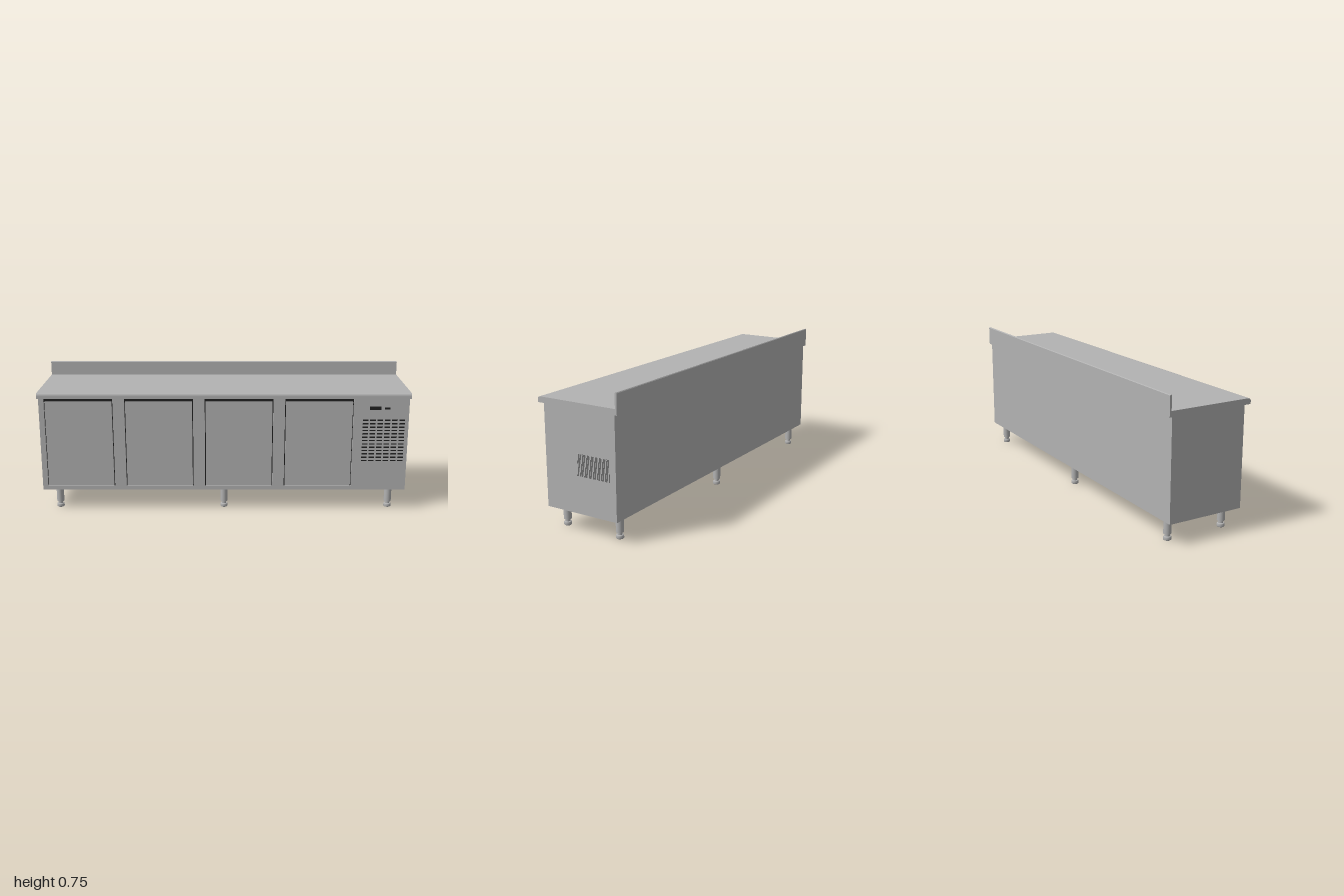
import * as THREE from 'three';

const steel = new THREE.MeshStandardMaterial({ color: 0xb2b2b2 });
steel.name = 'brushed steel';
const dark = new THREE.MeshStandardMaterial({ color: 0x202020 });
dark.name = 'dark recess';

export function createModel() {
  const model = new THREE.Group();
  model.name = 'refrigeratedCounter';

  const add = (name, geometry, material, parent = model) => {
    const mesh = new THREE.Mesh(geometry, material);
    mesh.name = name;
    parent.add(mesh);
    return mesh;
  };
  // Box given by its minimum and maximum on each axis
  const box = (name, x0, x1, y0, y1, z0, z1, material, parent) => {
    const mesh = add(name, new THREE.BoxGeometry(x1 - x0, y1 - y0, z1 - z0), material, parent);
    mesh.position.set((x0 + x1) / 2, (y0 + y1) / 2, (z0 + z1) / 2);
    return mesh;
  };
  const rect = (path, x0, x1, y0, y1) => path.moveTo(x0, y0).lineTo(x1, y0).lineTo(x1, y1).lineTo(x0, y1).closePath();

  const W = 0.998, bottom = 0.115, top = 0.64, front = 0.2, inner = 0.185;
  const doorLefts = [-0.97, -0.537, -0.104, 0.329], doorWidth = 0.37;
  const doorBottom = 0.135, gripBottom = 0.615, openingTop = 0.638, gap = 0.005;

  // Cabinet body with a front frame cut out for the doors
  box('cabinetBody', -W, W, bottom, top, -0.22, inner, steel);
  const frame = new THREE.Shape();
  rect(frame, -W, W, bottom, top);
  for (const x of doorLefts) {
    const hole = new THREE.Path();
    rect(hole, x, x + doorWidth, doorBottom, openingTop);
    frame.holes.push(hole);
  }
  const frameGeometry = new THREE.ExtrudeGeometry(frame, { depth: front - inner, bevelEnabled: false });
  add('frontFrame', frameGeometry, steel).position.z = inner;

  // Doors sit flush, with a dark gap around and a finger recess above
  for (const x of doorLefts) {
    box('doorRecess', x, x + doorWidth, doorBottom, openingTop, inner, inner + 0.002, dark);
    box('door', x + gap, x + doorWidth - gap, doorBottom + gap, gripBottom, inner + 0.002, front, steel);
  }

  // Worktop and upstand share one profile, drawn as (-z, y)
  const profile = new THREE.Shape();
  profile.moveTo(-0.235, 0.64);
  profile.lineTo(0.235, 0.64);
  profile.lineTo(0.235, 0.743);
  profile.lineTo(0.232, 0.747);
  profile.lineTo(0.228, 0.747);
  profile.lineTo(0.225, 0.743);
  profile.lineTo(0.225, 0.67);
  profile.lineTo(-0.219, 0.67);
  profile.quadraticCurveTo(-0.235, 0.67, -0.235, 0.654);
  profile.closePath();
  const topGeometry = new THREE.ExtrudeGeometry(profile, { depth: 2, bevelEnabled: false, curveSegments: 8 });
  topGeometry.rotateY(Math.PI / 2).translate(-1, 0, 0);
  add('worktop', topGeometry, steel);

  // Controls on the machine compartment
  box('display', 0.785, 0.847, 0.57, 0.589, front, front + 0.002, dark);
  box('switch', 0.866, 0.894, 0.575, 0.584, front, front + 0.002, dark);

  // Front ventilation slots
  const grille = new THREE.Group();
  grille.name = 'frontGrille';
  model.add(grille);
  for (let row = 0; row < 13; row++) {
    for (let col = 0; col < 6; col++) {
      const x = 0.75 + col * 0.0395, y = 0.281 + row * 0.019;
      box('slot', x, x + 0.03, y, y + 0.007, front, front + 0.001, dark, grille);
    }
  }

  // Louvred vent on the left side
  const vent = new THREE.Group();
  vent.name = 'sideVent';
  model.add(vent);
  box('ventBacking', W, W + 0.0005, 0.308, 0.419, -0.182, 0.007, dark, vent);
  const slats = 24, pitch = 0.189 / slats;
  for (let i = 0; i < slats; i++) {
    const z = -0.182 + i * pitch;
    box('slat', W, W + 0.0015, 0.308, 0.419, z + 0.0015, z + pitch - 0.0015, steel, vent);
  }

  // Six legs with adjustable feet
  const foot = [[0, 0], [0.017, 0], [0.02, 0.003], [0.02, 0.016], [0.017, 0.02], [0.012, 0.02]];
  const footGeometry = new THREE.LatheGeometry(foot.map(([r, y]) => new THREE.Vector2(r, y)), 24);
  const neckGeometry = new THREE.CylinderGeometry(0.0125, 0.0125, 0.016, 24);
  const tubeGeometry = new THREE.CylinderGeometry(0.02, 0.02, 0.083, 24);
  for (const x of [-0.915, 0, 0.915]) {
    for (const z of [0.15, -0.174]) {
      const leg = new THREE.Group();
      leg.name = 'leg';
      leg.position.set(x, 0, z);
      add('foot', footGeometry, steel, leg);
      add('footThread', neckGeometry, steel, leg).position.y = 0.027;
      add('legTube', tubeGeometry, steel, leg).position.y = 0.0745;
      model.add(leg);
    }
  }
  return model;
}
